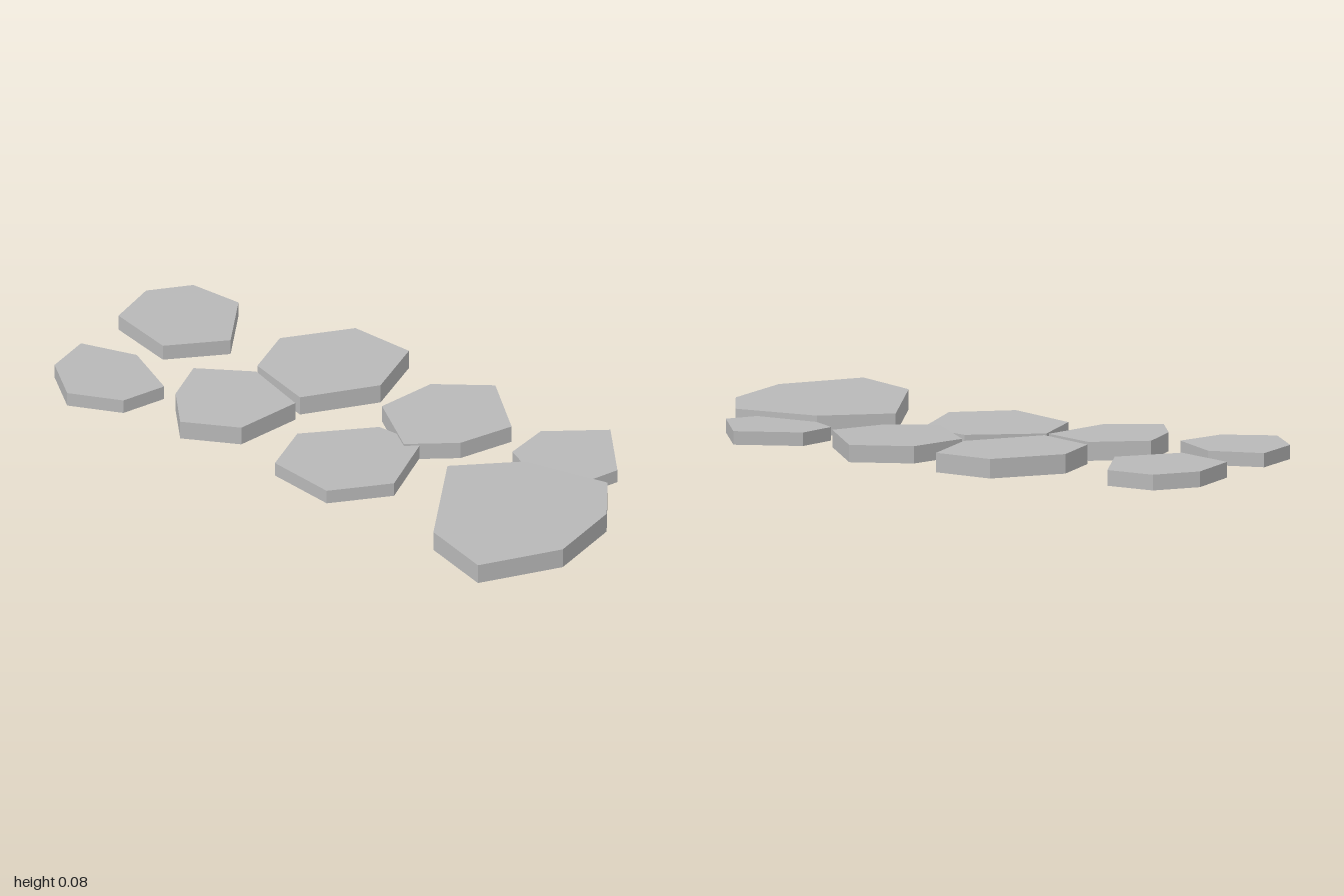
import * as THREE from 'three';

// Each stone: outline seen from above as [x, z] pairs (clockwise),
// height of the top at its middle, slope along x and z, and wall height.
const STONES = [
  { name: 'backFarRightStone', top: 0.075, sx: -0.02, sz: 0.01, wall: 0.05,
    outline: [[-1, -0.285], [-0.905, -0.405], [-0.73, -0.405], [-0.61, -0.2], [-0.755, -0.04], [-0.975, -0.105]] },
  { name: 'backRightStone', top: 0.075, sx: -0.02, sz: 0, wall: 0.062,
    outline: [[-0.485, -0.29], [-0.335, -0.485], [-0.12, -0.475], [-0.065, -0.25], [-0.22, -0.035], [-0.44, -0.11]] },
  { name: 'backLeftStone', top: 0.06, sx: 0.01, sz: -0.005, wall: 0.055,
    outline: [[0.045, -0.365], [0.215, -0.475], [0.41, -0.295], [0.34, -0.12], [0.2, -0.012], [0.003, -0.165]] },
  { name: 'backFarLeftStone', top: 0.05, sx: 0.005, sz: -0.03, wall: 0.043,
    outline: [[0.49, -0.34], [0.665, -0.47], [0.828, -0.285], [0.775, -0.14], [0.655, -0.1], [0.49, -0.19]] },
  { name: 'frontFarRightStone', top: 0.074, sx: -0.02, sz: 0.01, wall: 0.045,
    outline: [[-0.97, 0.1], [-0.79, 0.05], [-0.607, 0.155], [-0.655, 0.305], [-0.82, 0.377], [-0.955, 0.26]] },
  { name: 'frontRightStone', top: 0.079, sx: -0.035, sz: 0, wall: 0.06,
    outline: [[-0.585, 0.03], [-0.42, -0.077], [-0.212, 0], [-0.255, 0.227], [-0.425, 0.318], [-0.537, 0.19]] },
  { name: 'frontLeftStone', top: 0.051, sx: 0.02, sz: 0.005, wall: 0.045,
    outline: [[-0.12, 0.115], [0.065, -0.067], [0.235, -0.055], [0.318, 0.2], [0.174, 0.36], [-0.065, 0.308]] },
  { name: 'largeFrontStone', top: 0.067, sx: -0.003, sz: 0.005, wall: 0.064,
    outline: [[0.4, 0.03], [0.58, -0.14], [0.863, -0.185], [0.977, -0.025], [1, 0.238], [0.847, 0.478], [0.612, 0.393]] },
];

// Hollow slab: a tilted top and side walls, open underneath
function slabGeometry({ outline, top, sx, sz, wall }) {
  const n = outline.length;
  const cx = outline.reduce((s, p) => s + p[0], 0) / n;
  const cz = outline.reduce((s, p) => s + p[1], 0) / n;
  const upper = outline.map(([x, z]) => [x, top + sx * (x - cx) + sz * (z - cz), z]);
  const lower = upper.map(([x, y, z]) => [x, Math.max(0, y - wall), z]);
  const pos = [];
  for (let i = 0; i < n; i++) {
    const j = (i + 1) % n;
    pos.push(...[cx, top, cz], ...upper[j], ...upper[i]);
    pos.push(...upper[i], ...upper[j], ...lower[j]);
    pos.push(...upper[i], ...lower[j], ...lower[i]);
  }
  const geometry = new THREE.BufferGeometry();
  geometry.setAttribute('position', new THREE.Float32BufferAttribute(pos, 3));
  geometry.computeVertexNormals();
  return geometry;
}

export function createModel() {
  const group = new THREE.Group();
  group.name = 'steppingStones';
  const stone = new THREE.MeshStandardMaterial({ color: 0xb8b8b8, flatShading: true, side: THREE.DoubleSide });
  stone.name = 'stone grey';

  for (const spec of STONES) {
    const mesh = new THREE.Mesh(slabGeometry(spec), stone);
    mesh.name = spec.name;
    group.add(mesh);
  }
  return group;
}
